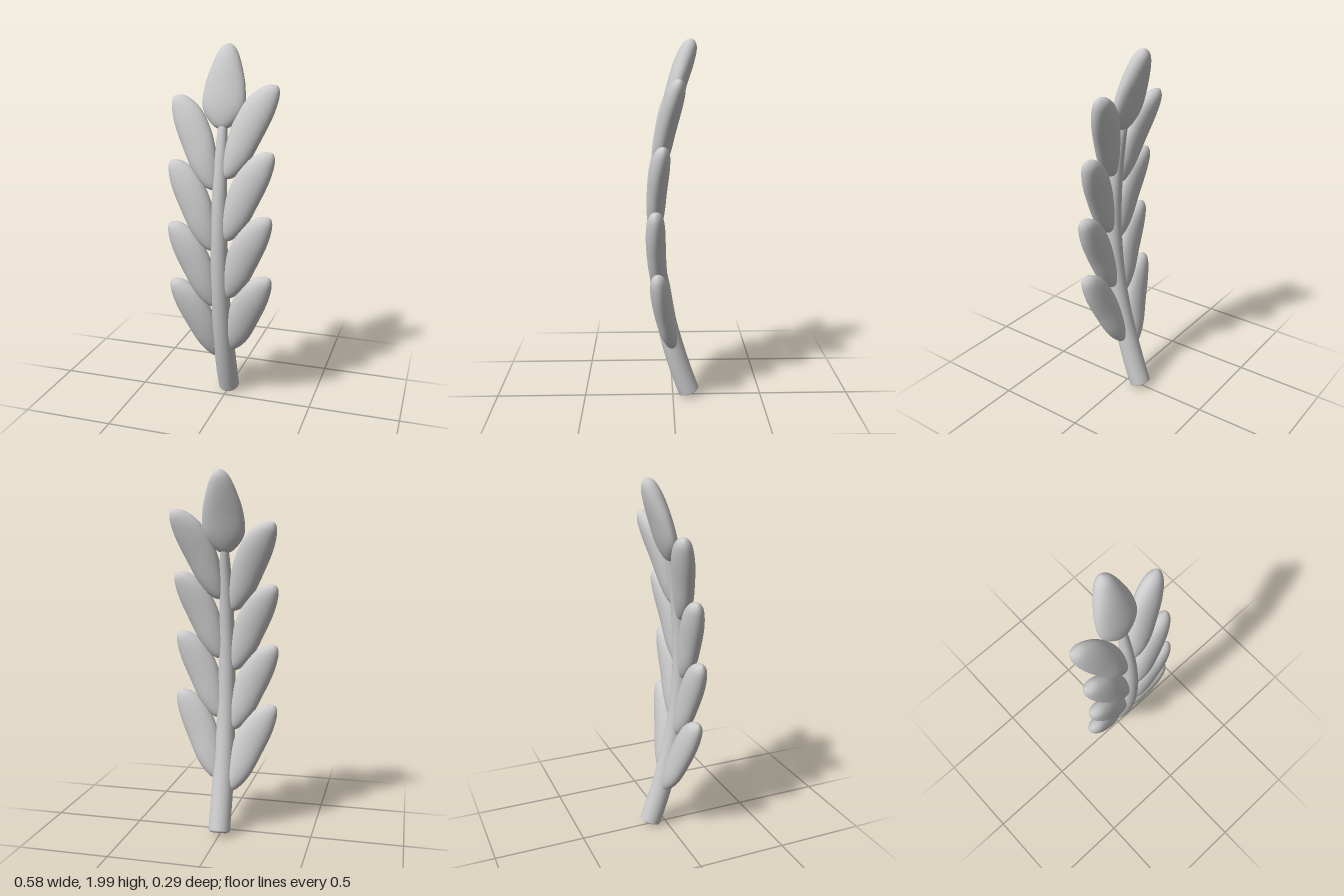
import * as THREE from 'three';
import { mergeVertices } from 'three/addons/utils/BufferGeometryUtils.js';

const material = new THREE.MeshStandardMaterial({ color: 0xcccccc });

// Smooth curve through values evenly spaced over u = 0..1
function profile(values) {
  const curve = new THREE.SplineCurve(values.map((v, i) => new THREE.Vector2(i, v)));
  return (u) => curve.getPoint(u).y;
}

// Bend an upright geometry along the arched spine, keeping thickness square to it
function bend(geometry) {
  const p = geometry.attributes.position;
  for (let i = 0; i < p.count; i++) {
    const y = p.getY(i), z = p.getZ(i);
    const slope = -0.4 * (y - 1);
    const len = Math.hypot(1, slope);
    p.setY(i, y - (z * slope) / len);
    p.setZ(i, 0.095 - 0.2 * (y - 1) ** 2 + z / len);
  }
  geometry.deleteAttribute('uv');
  geometry.deleteAttribute('normal');
  const merged = mergeVertices(geometry, 1e-5);
  merged.computeVertexNormals();
  return merged;
}

// Plump leaf running from base to tip; inner and outer are its half widths
const thickness = profile([0, 0.029, 0.047, 0.052, 0.051, 0.036, 0]);
function leaf(base, tip, inner, outer, side) {
  const geometry = new THREE.SphereGeometry(1, 40, 36);
  const p = geometry.attributes.position;
  const axis = tip.clone().sub(base);
  const dir = axis.clone().normalize();
  for (let i = 0; i < p.count; i++) {
    const c = THREE.MathUtils.clamp(p.getY(i), -1, 1);
    const u = Math.acos(-c) / Math.PI;
    const s = Math.max(Math.sin(u * Math.PI), 1e-6);
    const t = (1 + c) / 2;
    const a = outer(u), b = inner(u);
    const across = (a - b) / 2 + ((a + b) / 2) * (p.getX(i) / s);
    const x = base.x + axis.x * t + dir.y * across;
    const y = base.y + axis.y * t - dir.x * across;
    const z = thickness(u) * (p.getZ(i) / s);
    // a half turn about y gives the opposite side
    p.setXYZ(i, side * x, y, side * z);
  }
  return bend(geometry);
}

export function createModel() {
  const group = new THREE.Group();
  const add = (name, geometry) => {
    const mesh = new THREE.Mesh(geometry, material);
    mesh.name = name;
    group.add(mesh);
  };

  // Tapering stem with softly rounded ends
  const stem = new THREE.SplineCurve([
    [0, 0.025], [0.042, 0.026], [0.056, 0.036], [0.06, 0.06], [0.059, 0.3], [0.052, 0.6],
    [0.046, 0.95], [0.038, 1.3], [0.026, 1.55], [0.017, 1.585], [0, 1.595],
  ].map(([r, y]) => new THREE.Vector2(r, y))).getPoints(70);
  stem.forEach((q) => { q.x = Math.max(q.x, 0); });
  stem[0].x = stem[stem.length - 1].x = 0;
  add('stem', bend(new THREE.LatheGeometry(stem, 32)));

  // Alternating side leaves, four on each side
  const inner = profile([0, 0.03, 0.072, 0.106, 0.104, 0.06, 0]);
  const outer = profile([0, 0.045, 0.072, 0.07, 0.06, 0.034, 0]);
  for (let i = 0; i < 4; i++) {
    for (const side of [1, -1]) {
      const y = 0.31 + i * 0.334 - (side < 0 ? 0.063 : 0);
      const base = new THREE.Vector2(0.02, y);
      const tip = new THREE.Vector2(0.277, y + 0.478);
      add((side > 0 ? 'leftLeaf' : 'rightLeaf') + (i + 1), leaf(base, tip, inner, outer, side));
    }
  }

  // Upright leaf at the end of the stem
  const half = profile([0, 0.058, 0.112, 0.11, 0.08, 0.043, 0]);
  add('tipLeaf', leaf(new THREE.Vector2(-0.004, 1.56), new THREE.Vector2(-0.004, 1.995), half, half, 1));
  return group;
}
